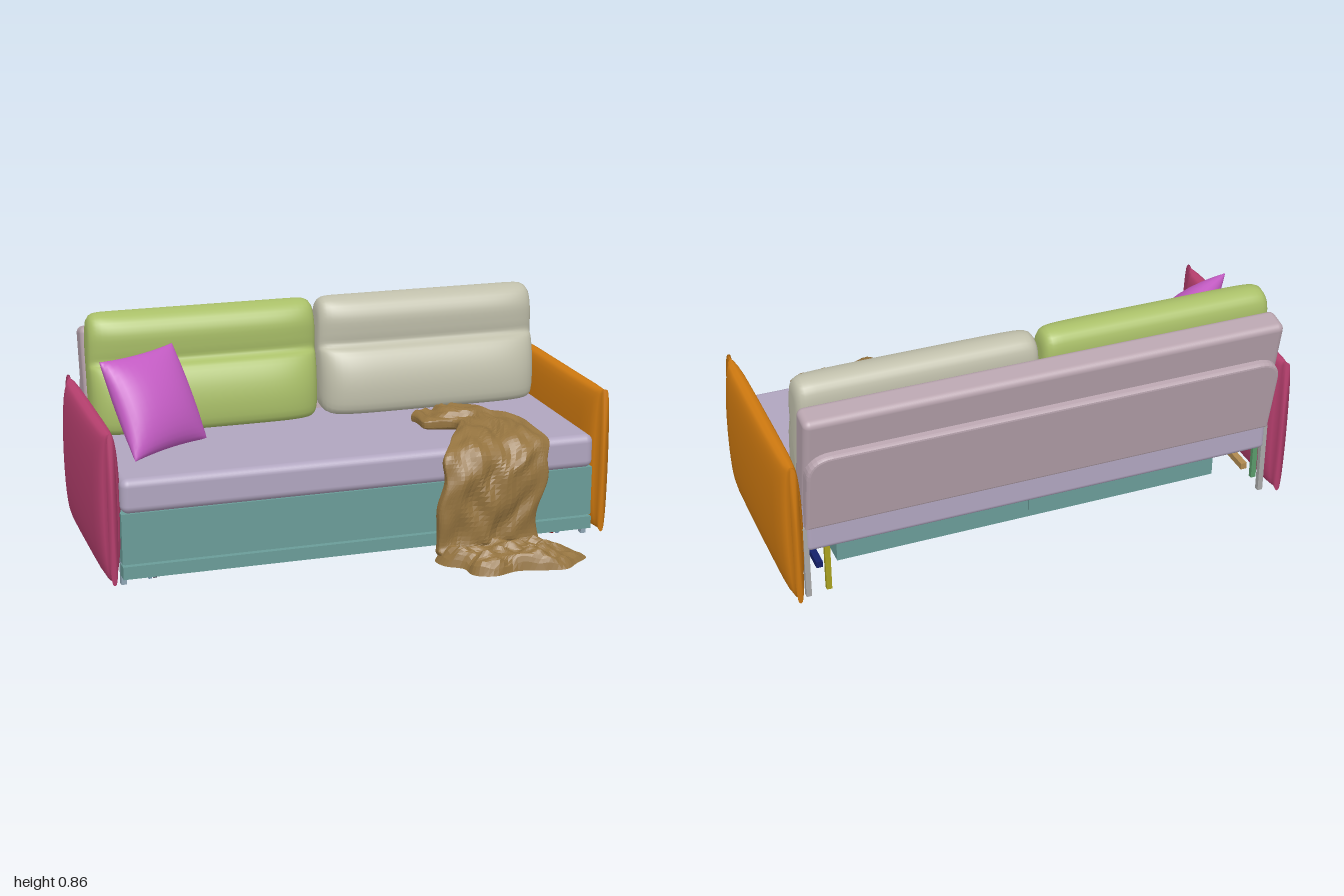
import * as THREE from 'three';
import { mergeVertices } from 'three/addons/utils/BufferGeometryUtils.js';
import { RoundedBoxGeometry } from 'three/addons/geometries/RoundedBoxGeometry.js';
import { ParametricGeometry } from 'three/addons/geometries/ParametricGeometry.js';

const V = (x, y, z) => new THREE.Vector3(x, y, z);
const TEAL = 0x6a9c98, LAVENDER = 0xb0a5bf, MAUVE = 0xb8a4ae, BROWN = 0x94733f;

export function createModel() {
  const sofa = new THREE.Group();
  sofa.name = 'sofa';

  const add = (name, geo, color, x = 0, y = 0, z = 0, flat = false) => {
    const mat = new THREE.MeshStandardMaterial({ color, side: THREE.DoubleSide, flatShading: flat });
    const m = new THREE.Mesh(geo, mat);
    m.name = name;
    m.position.set(x, y, z);
    sofa.add(m);
    return m;
  };
  // box given by its limits
  const box = (name, color, x0, x1, y0, y1, z0, z1) =>
    add(name, new THREE.BoxGeometry(x1 - x0, y1 - y0, z1 - z0), color, (x0 + x1) / 2, (y0 + y1) / 2, (z0 + z1) / 2);
  // surface from fn(u, v) -> Vector3, welded so that normals are smooth
  const loft = (fn, nu, nv) => {
    const g = new ParametricGeometry((u, v, t) => t.copy(fn(u, v)), nu, nv);
    g.deleteAttribute('normal');
    g.deleteAttribute('uv');
    const welded = mergeVertices(g, 1e-5);
    welded.computeVertexNormals();
    return welded;
  };
  const signPow = (s, p) => Math.sign(s) * Math.pow(Math.abs(s), p);

  // padded arms: [z offset, half thickness, half height], with a seam flange at each end
  const half = [[0.41, 0, 0], [0.41, 0.018, 0.283], [0.385, 0.009, 0.278], [0.38, 0.026, 0.275],
    [0.35, 0.04, 0.274], [0.28, 0.047, 0.274], [0.12, 0.05, 0.273]];
  const stations = [...half, [0, 0.05, 0.273], ...half.map(([z, a, b]) => [-z, a, b]).reverse()];
  const armGeo = loft((u, v) => {
    const [z, hx, hy] = stations[Math.round(v * (stations.length - 1))];
    const a = u * Math.PI * 2;
    return V(hx * signPow(Math.abs(Math.sin(a)) < 1e-3 ? 0 : Math.sin(a), 0.6), hy * Math.cos(a), z);
  }, 36, stations.length - 1);
  add('leftArm', armGeo, 0xd07a10, 0.945, 0.306, -0.13);
  add('rightArm', armGeo, 0xb8406f, -0.945, 0.306, -0.13);

  // seat mattress and the fold that hangs behind it
  add('seatMattress', new RoundedBoxGeometry(1.82, 0.13, 0.76, 4, 0.03), LAVENDER, 0, 0.345, -0.11);
  add('mattressFold', new RoundedBoxGeometry(1.8, 0.15, 0.07, 3, 0.02), LAVENDER, 0, 0.275, -0.462);

  // backrest and rear panel, both leaning back
  add('backrest', new RoundedBoxGeometry(1.81, 0.41, 0.105, 4, 0.025), MAUVE, 0, 0.58, -0.48).rotation.x = -0.19;
  const w = 0.89, h = 0.155, r = 0.08;
  const panel = new THREE.Shape();
  panel.moveTo(-w, -h);
  panel.lineTo(w, -h);
  panel.lineTo(w, h - r);
  panel.quadraticCurveTo(w, h, w - r, h);
  panel.lineTo(-w + r, h);
  panel.quadraticCurveTo(-w, h, -w, h - r);
  const panelGeo = new THREE.ExtrudeGeometry(panel,
    { depth: 0.035, bevelThickness: 0.012, bevelSize: 0.012, bevelSegments: 3, curveSegments: 8 });
  panelGeo.translate(0, 0, -0.0175);
  add('rearPanel', panelGeo, MAUVE, 0, 0.468, -0.511).rotation.x = -0.2;

  // back cushions: two-bulge side profile swept along x, front corners pulled back at the ends
  const profile = new THREE.CatmullRomCurve3([[-0.245, 0.42], [-0.23, 0.5], [-0.245, 0.59], [-0.28, 0.655],
    [-0.315, 0.678], [-0.312, 0.72], [-0.312, 0.79], [-0.345, 0.842], [-0.41, 0.86], [-0.455, 0.838], [-0.47, 0.78],
    [-0.452, 0.66], [-0.42, 0.5], [-0.4, 0.42], [-0.32, 0.41]].map(([z, y]) => V(0, y, z)), true);
  const cushionGeo = loft((u, v) => {
    const t = -Math.cos(v * Math.PI), p = profile.getPoint(u % 1);
    const cap = Math.max(0, 1 - Math.abs(t) ** 28);
    const front = p.z > -0.385 ? 1 - 0.42 * Math.abs(t) ** 7 : 1;
    return V(t * 0.447, 0.635 + (p.y - 0.635) * Math.pow(cap, 0.14), -0.385 + (p.z + 0.385) * front * Math.pow(cap, 0.25));
  }, 56, 32);
  add('rightBackCushion', cushionGeo, 0xa9bf68, -0.452);
  add('leftBackCushion', cushionGeo, 0xc0bfab, 0.452);

  // throw pillow: pointed corners, slightly concave edges, leaning on the cushion
  const across = V(0.16, -0.003, -0.108), up = V(-0.044, 0.168, -0.085);
  const out = across.clone().cross(up).normalize();
  add('throwPillow', loft((u, v) => {
    const a = u * Math.PI * 2, s = Math.cos(a), t = -Math.cos(v * Math.PI);
    const puff = 0.085 * Math.abs(Math.sin(a)) * Math.sin(v * Math.PI) * Math.sign(Math.sin(a));
    return V(0, 0, 0)
      .addScaledVector(across, s * (1 - 0.05 * (1 - t * t)))
      .addScaledVector(up, t * (1 - 0.05 * (1 - s * s)))
      .addScaledVector(out, puff);
  }, 32, 18), 0xc45cc4, -0.7, 0.578, -0.12);

  // blanket: flattened tube between a left and a right edge, with folds
  const rows = [[0.3, 0.43, -0.09, 0.52, 0.43, -0.18], [0.31, 0.435, 0.03, 0.585, 0.435, -0.08],
    [0.41, 0.435, 0.06, 0.645, 0.435, 0.02], [0.4, 0.435, 0.15, 0.685, 0.435, 0.13],
    [0.33, 0.425, 0.24, 0.705, 0.425, 0.25], [0.29, 0.39, 0.32, 0.705, 0.385, 0.31],
    [0.275, 0.3, 0.34, 0.69, 0.31, 0.33], [0.26, 0.18, 0.34, 0.66, 0.18, 0.33],
    [0.25, 0.06, 0.34, 0.65, 0.06, 0.33], [0.27, 0.02, 0.35, 0.66, 0.02, 0.34]];
  const edgeL = new THREE.CatmullRomCurve3(rows.map((q) => V(q[0], q[1], q[2])));
  const edgeR = new THREE.CatmullRomCurve3(rows.map((q) => V(q[3], q[4], q[5])));
  const folds = (a, b) => 0.45 * Math.sin(a * 13 + 2.5 * Math.sin(b * 9)) + 0.3 * Math.sin(a * 29 - b * 23)
    + 0.25 * Math.sin(b * 47 + 3 * Math.sin(a * 8));
  add('blanketDrape', loft((u, v) => {
    const a = u * Math.PI * 2, k = 0.5 - 0.5 * Math.cos(a), s = Math.sin(a);
    const p = edgeL.getPoint(v).lerp(edgeR.getPoint(v), k);
    const t = edgeL.getTangent(v).add(edgeR.getTangent(v));
    const n = V(0, t.z, -t.y).normalize();
    const body = 0.025 + 0.01 * THREE.MathUtils.smoothstep(v, 0.5, 0.7);
    const thick = body * signPow(s, 0.4) + 0.018 * Math.abs(s) * folds(k, v) * (s > 0 ? 1 : 0.3);
    p.addScaledVector(n, thick);
    p.x += 0.008 * Math.sin(v * 31 + k * 5);
    p.y = Math.max(p.y, p.z < 0.26 ? 0.412 : 0.006);
    return p;
  }, 64, 60), BROWN, 0, 0, 0, true);

  // blanket heap on the floor
  const outline = new THREE.CatmullRomCurve3([[0.25, 0.33], [0.26, 0.4], [0.32, 0.45], [0.33, 0.52], [0.4, 0.555],
    [0.5, 0.53], [0.59, 0.55], [0.68, 0.565], [0.74, 0.52], [0.8, 0.47], [0.78, 0.41], [0.7, 0.33], [0.55, 0.31],
    [0.4, 0.31]].map(([x, z]) => V(x, 0, z)), true);
  add('blanketHeap', loft((u, v) => {
    const p = V(0.5, 0, 0.42).lerp(outline.getPoint(u % 1), v);
    const fall = 1 - v ** 9;
    const slope = 1 - 0.5 * THREE.MathUtils.smoothstep(p.x, 0.58, 0.78);
    p.y = 0.004 + fall * slope * (0.06 + 0.022 * folds(p.x * 2.5, p.z * 3));
    return p;
  }, 64, 16), BROWN, 0, 0, 0, true);

  // base front: drawer panel with a lower rail
  box('frontPanel', TEAL, -0.91, 0.91, 0.09, 0.28, 0.2, 0.255);
  box('frontLowerRail', TEAL, -0.91, 0.91, 0.035, 0.083, 0.2, 0.262);
  box('frontInnerStrip', TEAL, -0.9, 0.9, 0.04, 0.27, 0.195, 0.24);

  // storage box under the seat
  box('storageFloor', 0x45625f, -0.74, 0.74, 0.04, 0.05, -0.35, 0.2);
  for (const s of [-1, 1]) box('storageSide', TEAL, s * 0.745 - 0.01, s * 0.745 + 0.01, 0.037, 0.16, -0.36, 0.2);
  box('storageBack', TEAL, -0.755, 0.755, 0.037, 0.15, -0.365, -0.345);
  box('storageBackLatch', TEAL, -0.01, 0.01, 0.07, 0.15, -0.375, -0.36);

  // bed frame rails and deck
  for (const z of [-0.42, 0.17]) box('frameRail', TEAL, -0.87, 0.87, 0.19, 0.215, z - 0.012, z + 0.012);
  for (const s of [-1, 1]) {
    box('frameSideRail', TEAL, s * 0.86 - 0.012, s * 0.86 + 0.012, 0.225, 0.25, -0.43, 0.2);
    box('armRail', s > 0 ? 0x14206a : 0xb08a50, s * 0.845 - 0.012, s * 0.845 + 0.012, 0.09, 0.115, -0.45, 0.2);
  }
  box('seatDeck', TEAL, -0.87, 0.87, 0.25, 0.275, -0.42, 0.2);

  // legs, brackets and front castors
  for (const s of [-1, 1]) {
    box('frontLeg', 0x8fa5b5, s * 0.9 - 0.01, s * 0.9 + 0.01, 0, 0.1, 0.193, 0.218);
    box('rearLeg', 0xa8a8a8, s * 0.9 - 0.01, s * 0.9 + 0.01, 0.005, 0.3, -0.49, -0.47);
    box('castorBracket', 0x6f8fa8, s * 0.8 - 0.006, s * 0.8 + 0.006, 0.005, 0.13, 0.18, 0.2);
    const wheel = add('castor', new THREE.CylinderGeometry(0.014, 0.014, 0.012, 16), s > 0 ? 0xb02020 : 0x504860,
      s * 0.78, 0.016, 0.185);
    wheel.rotation.z = Math.PI / 2;
  }
  box('leftRearSupport', 0xa8a020, 0.81, 0.83, 0.005, 0.26, -0.475, -0.458);
  box('rightRearBracket', 0x5a9a6a, -0.885, -0.865, 0.06, 0.26, -0.475, -0.458);
  return sofa;
}
